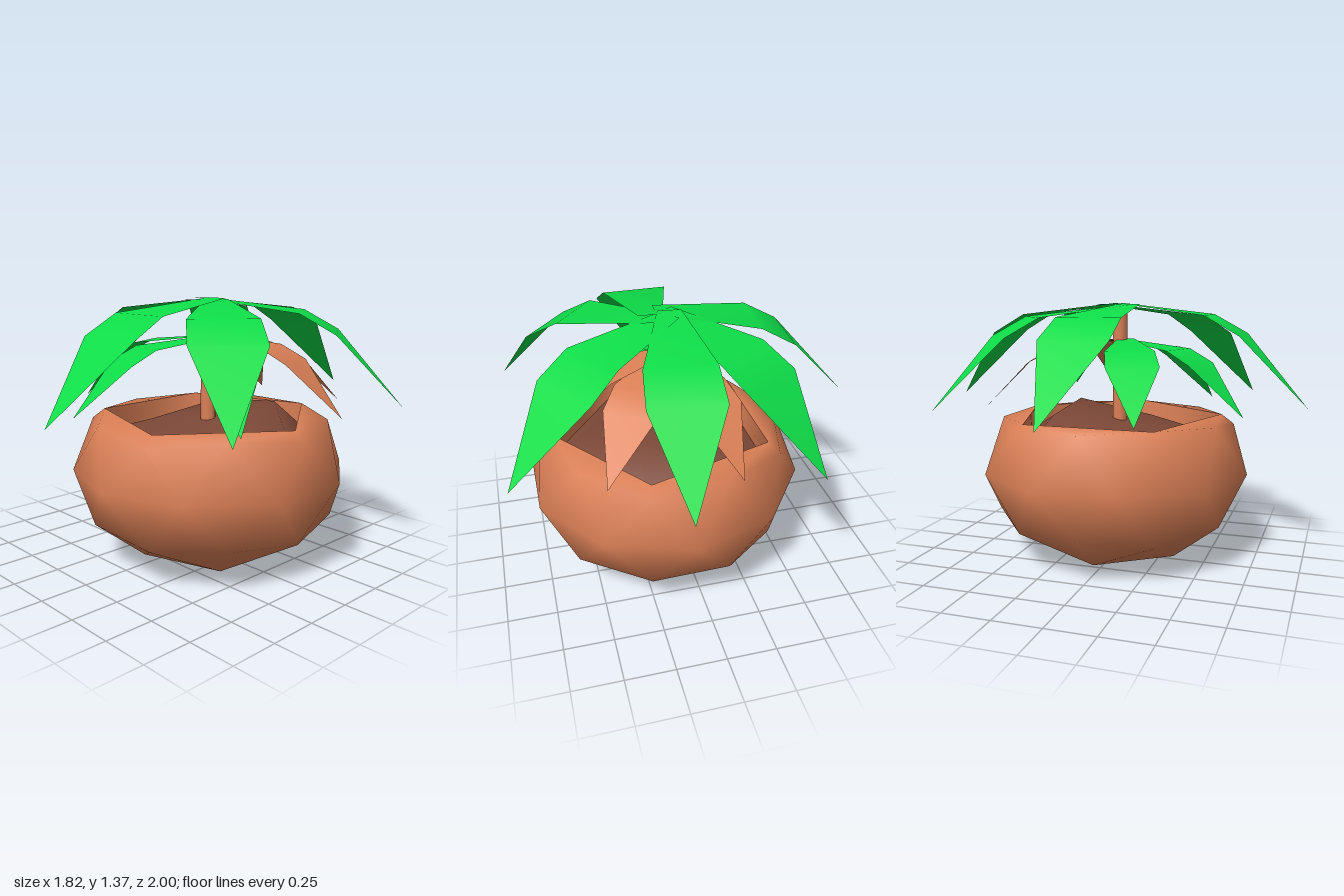
import * as THREE from 'three';
import { mergeVertices } from 'three/addons/utils/BufferGeometryUtils.js';

const CX = 0.08; // the plant axis sits slightly off centre
const material = (color, extra = {}) => new THREE.MeshStandardMaterial({ color, ...extra });
const CLAY = 0xdb8056, SOIL = 0x7c4837, GREEN = 0x0edd48;

// Skin ten-sided rings, bottom to top: { odd: [r, y], even: [r, y], turn: in steps of 36 degrees }
function facetedShell(rings) {
  const n = 10, pos = [], index = [];
  for (const { odd, even, turn = 0 } of rings) {
    for (let j = 0; j < n; j++) {
      const [r, y] = j % 2 ? odd : even;
      const a = (j + turn) * Math.PI / 5;
      pos.push(r * Math.cos(a), y, -r * Math.sin(a));
    }
  }
  for (let k = 0; k < rings.length - 1; k++) {
    const lowTurn = rings[k].turn || 0, highTurn = rings[k + 1].turn || 0;
    for (let j = 0; j < n; j++) {
      const i = (j + 1) % n;
      const l0 = k * n + j, l1 = k * n + i, u0 = l0 + n, u1 = l1 + n;
      const rising = lowTurn === highTurn ? j % 2 === 1 : lowTurn > highTurn;
      if (rising) index.push(l0, l1, u1, l0, u1, u0);
      else index.push(l0, l1, u0, l1, u1, u0);
    }
  }
  const g = new THREE.BufferGeometry();
  g.setAttribute('position', new THREE.Float32BufferAttribute(pos, 3));
  g.setIndex(index);
  const merged = mergeVertices(g);
  merged.computeVertexNormals();
  return merged;
}

const ring = (odd, even = odd, turn = 0) => ({ odd, even, turn });
const MID = Math.cos(Math.PI / 5); // mid-edge of a pentagon relative to its corners

// Drooping leaf along +x: [distance, height, right edge, left edge], ending in a point
function leafGeometry() {
  const sections = [
    [-0.02, 0, -0.01, 0.11],
    [0.48, -0.06, -0.145, 0.195],
    [0.66, -0.16, -0.155, 0.205],
    [1, -0.53, 0, 0],
  ];
  const pos = [], index = [];
  sections.forEach(([s, y, right, left], k) => {
    pos.push(s, y, -right, s, y, -left);
    const a = 2 * k;
    if (k < 2) index.push(a, a + 2, a + 3, a, a + 3, a + 1);
    else if (k === 2) index.push(a, a + 2, a + 1);
  });
  const g = new THREE.BufferGeometry();
  g.setAttribute('position', new THREE.Float32BufferAttribute(pos, 3));
  g.setIndex(index);
  g.computeVertexNormals();
  return g;
}

// Mounded soil: a tilted pentagon with skirts down to the pot wall
function soilGeometry() {
  const heights = [0.82, 0.78, 0.70, 0.68, 0.72];
  const pos = [0, 0.75, 0], index = [];
  const add = (r, y, deg) => {
    const a = THREE.MathUtils.degToRad(deg);
    pos.push(r * Math.cos(a), y, -r * Math.sin(a));
  };
  heights.forEach((y, k) => add(0.35, y, 54 + 72 * k));
  heights.forEach((y, k) => add(0.57, 0.65, 72 * (k + 1)));
  for (let k = 0; k < 5; k++) {
    const j = (k + 1) % 5;
    index.push(0, 1 + k, 1 + j, 1 + k, 6 + k, 1 + j, 6 + k, 6 + j, 1 + j);
  }
  const g = new THREE.BufferGeometry();
  g.setAttribute('position', new THREE.Float32BufferAttribute(pos, 3));
  g.setIndex(index);
  g.computeVertexNormals();
  return g;
}

export function createModel() {
  const model = new THREE.Group();
  const part = (name, geometry, mat, x = CX, y = 0, z = 0, parent = model) => {
    const mesh = new THREE.Mesh(geometry, mat);
    mesh.name = name;
    mesh.position.set(x, y, z);
    parent.add(mesh);
    return mesh;
  };
  const clay = material(CLAY, { side: THREE.DoubleSide });
  const green = material(GREEN, { side: THREE.DoubleSide });

  // Round faceted pot with a pentagonal opening
  part('pot', facetedShell([
    ring([0, 0]),
    ring([0.381, 0.03], [0.381 * MID, 0.03]),
    ring([0.648, 0.24], [0.617, 0.2]),
    ring([0.725, 0.48], [0.725, 0.48], 0.5),
    ring([0.617, 0.755], [0.648, 0.715]),
    ring([0.58 * MID, 0.768], [0.58, 0.768]),
  ]), clay, CX, 0, -0.02);

  // Inner wall of the opening
  part('potInnerWall', facetedShell([
    ring([0.58 * MID, 0.768], [0.58, 0.768]),
    ring([0.57 * MID, 0.6], [0.57, 0.6]),
  ]), clay, CX, 0, -0.02);

  part('soil', soilGeometry(), material(SOIL, { side: THREE.DoubleSide }), CX, 0, -0.02);

  // Trunk
  part('trunk', new THREE.CylinderGeometry(0.04, 0.04, 0.66, 10), clay, 0.09, 1.0, 0);

  // Two tiers of leaves: [direction in degrees, withered]
  const leaf = leafGeometry();
  const tier = (name, y, size, drop, leaves) => {
    const group = new THREE.Group();
    group.name = name;
    group.position.set(CX, y, 0);
    leaves.forEach(([deg, withered], k) => {
      const mesh = part(withered ? 'witheredLeaf' : 'leaf', leaf, withered ? clay : green,
        0, (k % 3) * -0.005, 0, group);
      mesh.scale.set(size, drop, size);
      mesh.rotation.y = THREE.MathUtils.degToRad(deg);
    });
    model.add(group);
  };
  tier('upperLeaves', 1.37, 1, 1,
    [[85], [34.5], [-38.5], [-89], [176.5], [125.6]]);
  tier('lowerLeaves', 1.18, 0.735, 0.69,
    [[-157.3], [-106], [-32.8], [17.4, true], [57.8, true], [108.2, true]]);

  return model;
}
